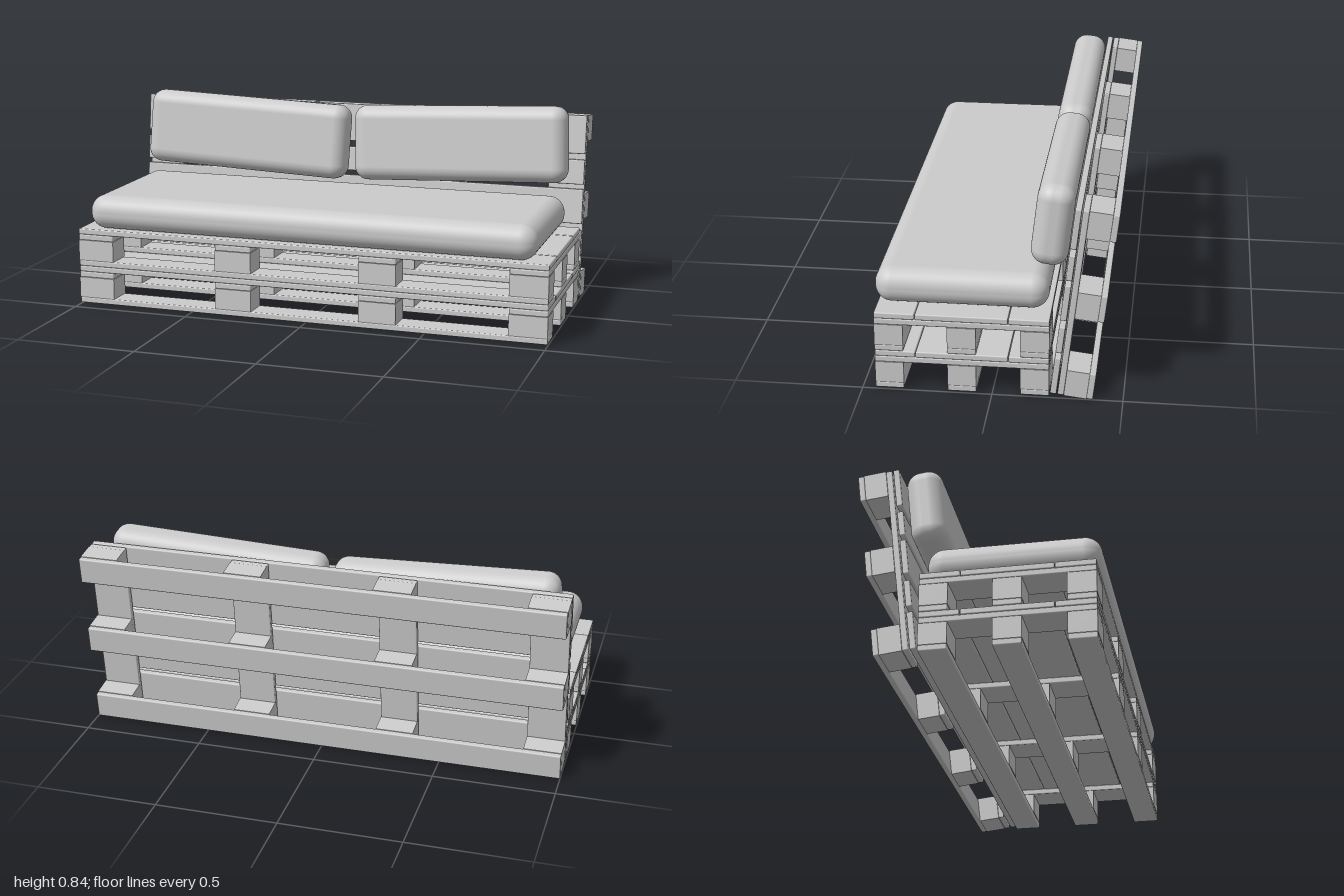
import * as THREE from 'three';
import { RoundedBoxGeometry } from 'three/addons/geometries/RoundedBoxGeometry.js';

const material = new THREE.MeshStandardMaterial({ color: 0xcccccc });
const COLUMNS = [-0.922, -0.308, 0.308, 0.922]; // x of the block columns
const BLOCK_W = 0.156;
const BLOCK_D = 0.11;
const BOARD = 0.0245; // board thickness
const BLOCK_H = 0.087;

function add(parent, name, geometry, x, y, z) {
  const mesh = new THREE.Mesh(geometry, material);
  mesh.name = name;
  mesh.position.set(x, y, z);
  parent.add(mesh);
  return mesh;
}

// Plank with slightly eased edges
const plank = (w, h, d) => new RoundedBoxGeometry(w, h, d, 2, 0.005);

// Pallet lying flat, deck up. slats: [start, end] distances from its +z edge.
function pallet(name, depth, slats, slatGap) {
  const group = new THREE.Group();
  group.name = name;
  const rowZ = (depth - BLOCK_D) / 2;
  for (const z of [-rowZ, 0, rowZ]) {
    add(group, 'runner', plank(2, BOARD, BLOCK_D), 0, BOARD / 2, z);
    for (const x of COLUMNS) {
      add(group, 'block', new THREE.BoxGeometry(BLOCK_W, BLOCK_H, BLOCK_D), x, BOARD + BLOCK_H / 2, z);
    }
  }
  for (const x of COLUMNS) {
    add(group, 'crossBoard', plank(BLOCK_W, BOARD, depth), x, BOARD * 1.5 + BLOCK_H, 0);
  }
  for (const [a, b] of slats) {
    add(group, 'deckSlat', plank(2, BOARD, b - a), 0, BOARD * 2.5 + BLOCK_H + slatGap, depth / 2 - (a + b) / 2);
  }
  return group;
}

// Soft cushion whose faces bulge gently towards the middle
function cushion(w, h, d, radius, bulge, axis) {
  const geometry = new RoundedBoxGeometry(w, h, d, 8, radius);
  const size = { x: w, y: h, z: d };
  const others = ['x', 'y', 'z'].filter((k) => k !== axis);
  const p = geometry.attributes.position;
  const v = new THREE.Vector3();
  for (let i = 0; i < p.count; i++) {
    v.fromBufferAttribute(p, i);
    let k = 1;
    for (const o of others) k *= 1 - Math.pow((2 * v[o]) / size[o], 2);
    v[axis] *= 1 + bulge * k;
    p.setXYZ(i, v.x, v.y, v.z);
  }
  return geometry;
}

export function createModel() {
  const model = new THREE.Group();
  model.name = 'palletSofa';

  // Two stacked pallets form the seat base
  const seatSlats = [[0, 0.155], [0.157, 0.51], [0.512, 0.667]];
  for (let i = 0; i < 2; i++) {
    const base = pallet(i ? 'upperSeatPallet' : 'lowerSeatPallet', 0.667, seatSlats, 0);
    base.position.set(0, 0.01 + i * 0.1605, 0.115);
    model.add(base);
  }

  // Pallet standing on edge, leaning back
  const backSlats = [[0, 0.155], [0.177, 0.288], [0.316, 0.463], [0.483, 0.588], [0.613, 0.775]];
  const back = pallet('backrestPallet', 0.775, backSlats, 0.004);
  back.rotation.x = Math.PI / 2 - 0.113;
  back.position.set(0, 0.389, -0.429);
  model.add(back);

  // Seat cushion
  add(model, 'seatCushion', cushion(1.9, 0.142, 0.667, 0.066, 0.02, 'y'), -0.005, 0.402, 0.125);

  // Two back cushions, each drooping towards the middle
  const backCushion = cushion(0.925, 0.322, 0.142, 0.058, 0.06, 'z');
  for (const [name, x, y, roll] of [
    ['rightBackCushion', -0.482, 0.654, -0.038],
    ['leftBackCushion', 0.478, 0.662, 0.042],
  ]) {
    const mesh = add(model, name, backCushion, x, y, -0.218);
    mesh.rotation.set(-0.113, 0, roll);
  }
  return model;
}
